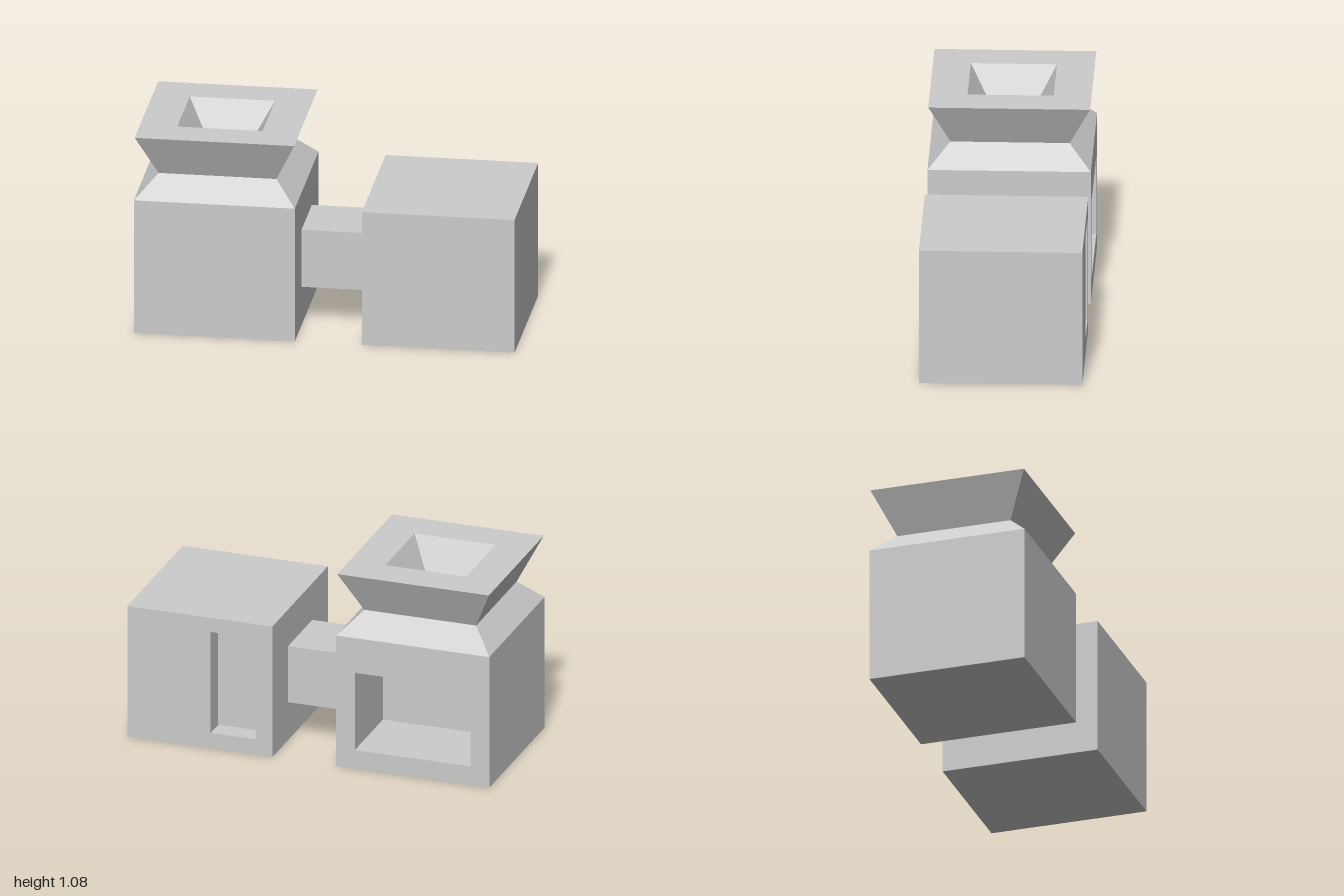
import * as THREE from 'three';

const material = new THREE.MeshStandardMaterial({ color: 0xcccccc, flatShading: true });

// Skin over rectangles [centreX, centreY, width, height, z], closed at both ends.
// Rings run up the outside, across the rim and down into the recess.
function loft(name, rings) {
  const pos = [];
  const corners = ([cx, cy, w, h, z]) =>
    [[-1, -1], [1, -1], [1, 1], [-1, 1]].map(([sx, sy]) => [cx + sx * w / 2, cy + sy * h / 2, z]);
  const quad = (a, b, c, d) => pos.push(...a, ...b, ...c, ...a, ...c, ...d);
  const loops = rings.map(corners);
  for (let i = 0; i < loops.length - 1; i++) {
    const a = loops[i], b = loops[i + 1];
    for (let j = 0; j < 4; j++) {
      const k = (j + 1) % 4;
      quad(a[j], a[k], b[k], b[j]);
    }
  }
  quad(...[...loops[0]].reverse());
  quad(...loops[loops.length - 1]);
  const geometry = new THREE.BufferGeometry();
  geometry.setAttribute('position', new THREE.Float32BufferAttribute(pos, 3));
  geometry.computeVertexNormals();
  const mesh = new THREE.Mesh(geometry, material);
  mesh.name = name;
  return mesh;
}

// Block standing on the ground with a rectangular recess in its back face
function recessedBlock(name, x, width, height, depth, recess) {
  const mesh = loft(name, [
    [0, height / 2, width, height, -depth / 2],
    [0, height / 2, width, height, depth / 2],
    [recess.x, recess.y, recess.w, recess.h, depth / 2],
    [recess.x, recess.y, recess.w, recess.h, depth / 2 - recess.depth],
  ]);
  mesh.rotation.y = Math.PI; // recess opens towards -z
  mesh.position.x = x;
  return mesh;
}

export function createModel() {
  const model = new THREE.Group();
  model.name = 'twoBlockBuilding';
  const towerX = -0.577;

  // Main blocks: tower with a wide opening, side block with a narrow doorway
  model.add(recessedBlock('towerBody', towerX, 0.846, 0.737, 0.85,
    { x: 0, y: 0.323, w: 0.64, h: 0.436, depth: 0.43 }));
  model.add(recessedBlock('sideBlock', 0.599, 0.802, 0.737, 0.85,
    { x: 0.185, y: 0.372, w: 0.25, h: 0.57, depth: 0.115 }));

  // Sloped shoulders, flared top and tapering pit
  const hopper = loft('hopper', [
    [0, 0, 0.846, 0.85, 0.737],
    [0, 0, 0.618, 0.62, 0.853],
    [0, 0, 0.838, 0.842, 1.083],
    [0, 0, 0.448, 0.448, 1.083],
    [0, 0, 0.16, 0.16, 0.833],
  ]);
  hopper.rotation.x = -Math.PI / 2;
  hopper.position.x = towerX;
  model.add(hopper);

  // Connecting passage
  const passage = new THREE.Mesh(new THREE.BoxGeometry(0.353, 0.317, 0.37), material);
  passage.name = 'passage';
  passage.position.set(0.022, 0.372, 0);
  model.add(passage);

  return model;
}
